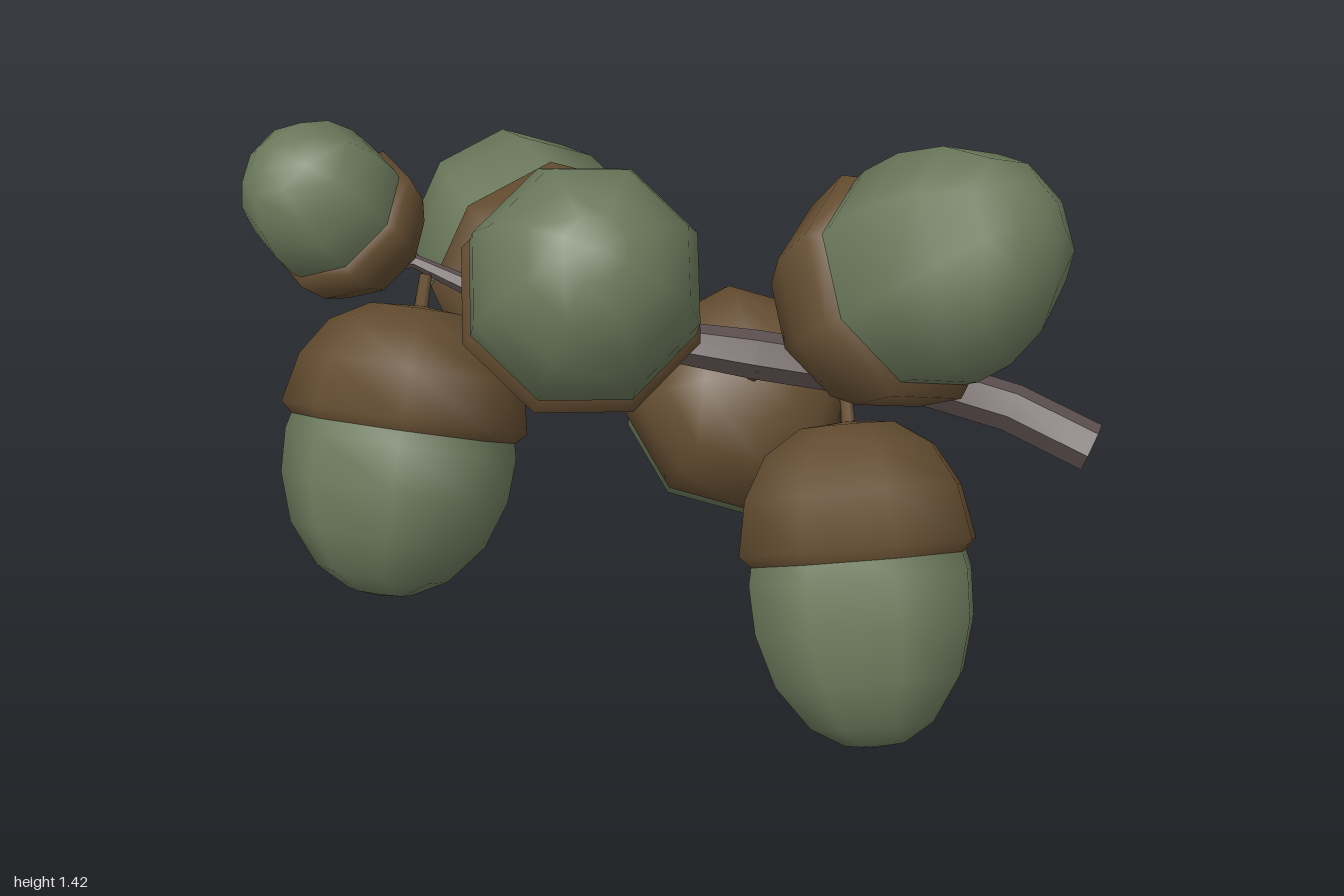
import * as THREE from 'three';
import { toCreasedNormals } from 'three/addons/utils/BufferGeometryUtils.js';

const V = (a) => new THREE.Vector3(...a);
const UP = new THREE.Vector3(0, 1, 0);
const SIDES = 8;
const LENGTH = 0.765;

// Lathe from [radius, height] pairs, rising along y
function lathe(points, crease) {
  const g = new THREE.LatheGeometry(points.map(([r, y]) => new THREE.Vector2(r, y)), SIDES);
  return toCreasedNormals(g, crease);
}

export function createModel() {
  const nutGreen = new THREE.MeshStandardMaterial({ color: 0x6b785b });
  const capBrown = new THREE.MeshStandardMaterial({ color: 0x644d31 });
  const bark = new THREE.MeshStandardMaterial({ color: 0x5e5050, side: THREE.DoubleSide });
  const model = new THREE.Group();
  model.name = 'acornBranch';

  function add(parent, name, geometry, material) {
    const mesh = new THREE.Mesh(geometry, material);
    mesh.name = name;
    parent.add(mesh);
    return mesh;
  }

  // Acorn profiles: stalk root at y = 0, nut tip at y = LENGTH
  const capGeometry = lathe([[0, 0.03], [0.12, 0.04], [0.21, 0.095], [0.268, 0.19],
    [0.293, 0.315], [0.262, 0.345]], 1.4);
  const nutGeometry = lathe([[0.25, 0.27], [0.275, 0.38], [0.27, 0.49], [0.232, 0.61],
    [0.155, 0.71], [0.075, 0.755], [0, LENGTH]], 1.4);
  const stalkGeometry = new THREE.CylinderGeometry(0.018, 0.015, 0.1, 6);

  // Each acorn: stalk point, tip point, girth, roll about its axis
  const acorns = [
    [[-0.68, 1.02, -0.03], [-0.93, 1.37, 0.14], 0.65, 0],
    [[-0.26, 0.9, 0.09], [-0.23, 1.33, 0.68], 0.98, 0.39],
    [[0.32, 0.83, 0.05], [0.75, 1.3, 0.48], 1, 0],
    [[0.38, 0.715, 0.225], [0.41, 0.02, 0.62], 1, 0],
    [[-0.61, 0.95, 0], [-0.74, 0.31, 0.31], 1, 0],
    [[-0.2, 0.83, 0], [-0.48, 0.96, -0.72], 1.03, 0.39],
    [[0.18, 0.74, 0.06], [0.15, 0.28, -0.52], 1, 0],
  ];
  acorns.forEach(([base, tip, girth, roll], i) => {
    const axis = V(tip).sub(V(base));
    const acorn = new THREE.Group();
    acorn.name = 'acorn' + (i + 1);
    acorn.position.copy(V(base));
    acorn.scale.set(girth, axis.length() / LENGTH, girth);
    acorn.quaternion.setFromUnitVectors(UP, axis.normalize());
    acorn.rotateY(roll);
    add(acorn, 'cap', capGeometry, capBrown);
    add(acorn, 'nut', nutGeometry, nutGreen);
    add(acorn, 'stalk', stalkGeometry, capBrown);
    model.add(acorn);
  });

  // Branch: tube tapered ring by ring from thin twig to cut end
  const path = new THREE.CatmullRomCurve3([
    [-0.84, 0.97, -0.1], [-0.64, 1.0, -0.09], [-0.4, 0.9, -0.03], [-0.08, 0.83, 0.03],
    [0.3, 0.765, 0.07], [0.72, 0.68, 0.11], [0.98, 0.585, 0.23],
  ].map(V));
  const rings = 9, sides = 6;
  const radius = (t) => 0.006 + 0.054 * Math.min(1, t * 1.8);
  const tube = new THREE.TubeGeometry(path, rings, 1, sides);
  const pos = tube.attributes.position;
  const p = new THREE.Vector3();
  for (let i = 0; i < pos.count; i++) {
    const t = Math.floor(i / (sides + 1)) / rings;
    const center = path.getPointAt(t);
    p.fromBufferAttribute(pos, i).sub(center).multiplyScalar(radius(t)).add(center);
    pos.setXYZ(i, p.x, p.y, p.z);
  }
  add(model, 'branch', toCreasedNormals(tube, 0.8), bark);

  // Cut face closing the thick end, fanned from the last ring
  const last = rings * (sides + 1);
  const c = path.getPointAt(1);
  const fan = [];
  for (let j = 0; j < sides; j++) {
    fan.push(c.x, c.y, c.z);
    for (const k of [j, j + 1]) {
      p.fromBufferAttribute(pos, last + k);
      fan.push(p.x, p.y, p.z);
    }
  }
  const cut = new THREE.BufferGeometry();
  cut.setAttribute('position', new THREE.Float32BufferAttribute(fan, 3));
  cut.computeVertexNormals();
  add(model, 'branchCutEnd', cut, bark);

  // Small twigs at the thin end
  for (const tip of [[-0.85, 0.95, -0.06], [-0.78, 0.96, -0.15]]) {
    const from = V([-0.72, 1.0, -0.1]);
    const dir = V(tip).sub(from);
    const twig = add(model, 'twig', new THREE.ConeGeometry(0.01, dir.length(), 5), bark);
    twig.position.copy(from).addScaledVector(dir, 0.5);
    twig.quaternion.setFromUnitVectors(UP, dir.normalize());
  }
  return model;
}
